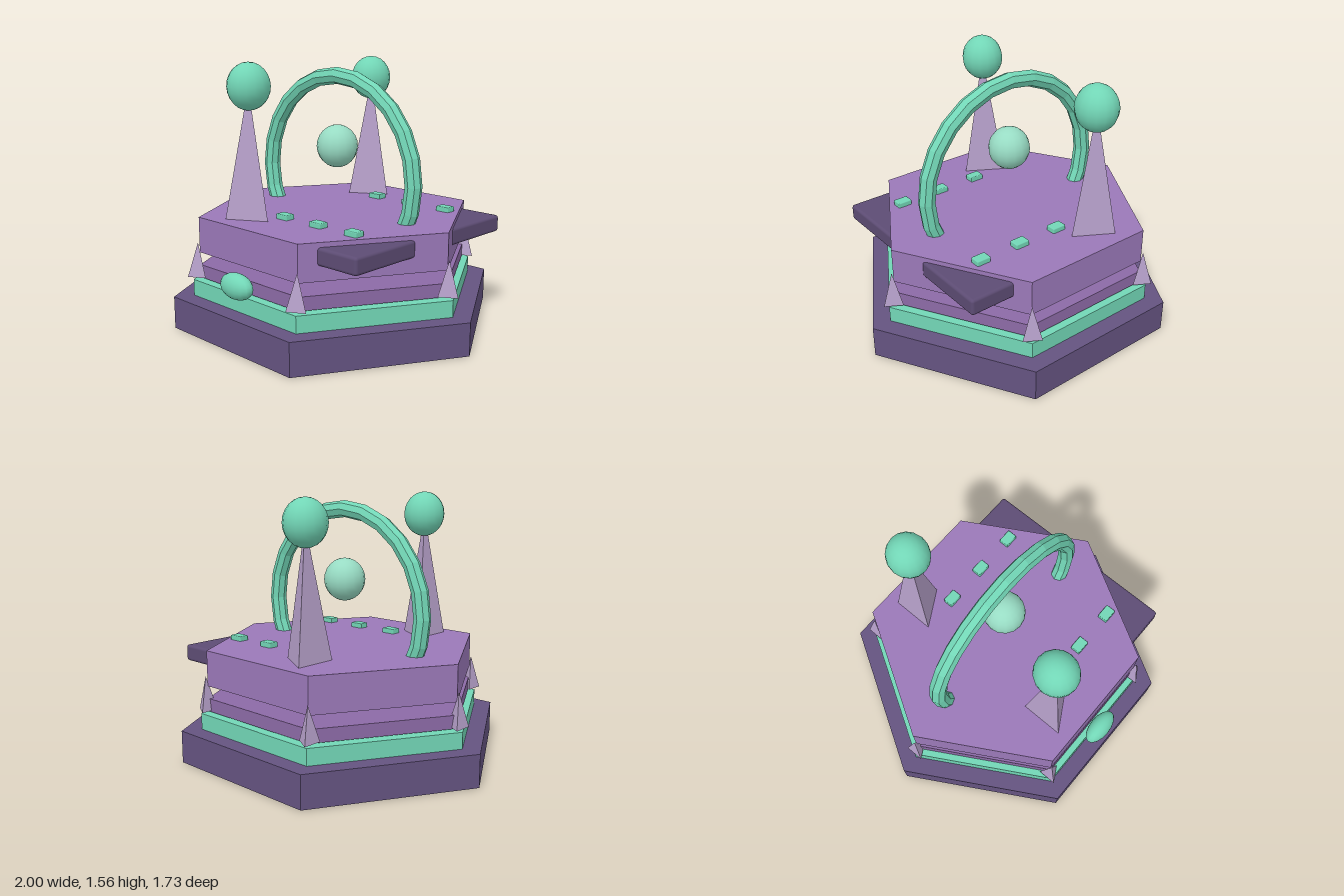
import * as THREE from 'three';
import { RoundedBoxGeometry } from 'three/addons/geometries/RoundedBoxGeometry.js';

const paint = (name, color) => {
  const m = new THREE.MeshStandardMaterial({ color });
  m.name = name;
  return m;
};

// Gives every face its own normal
const faceted = (geometry) => {
  const g = geometry.index ? geometry.toNonIndexed() : geometry;
  g.computeVertexNormals();
  return g;
};

export function createModel() {
  const model = new THREE.Group();
  model.name = 'ringShrine';
  const darkPurple = paint('darkPurple', 0x645380);
  const wingPurple = paint('wingPurple', 0x5d4c74);
  const purple = paint('purple', 0x9a78b8);
  const midPurple = paint('midPurple', 0x8c6aa6);
  const mauve = paint('mauve', 0xb6a0ca);
  const teal = paint('teal', 0x72d6b6);
  const paleTeal = paint('paleTeal', 0x98dcc4);

  const add = (name, geometry, material, x, y, z) => {
    const mesh = new THREE.Mesh(geometry, material);
    mesh.name = name;
    mesh.position.set(x, y, z);
    model.add(mesh);
    return mesh;
  };

  // Stacked hexagonal slabs with corners on the x axis
  const slab = (name, radius, bottom, top, material) => {
    const g = new THREE.CylinderGeometry(radius, radius, top - bottom, 6).rotateY(Math.PI / 2);
    add(name, faceted(g), material, 0, (bottom + top) / 2, 0);
  };
  slab('base', 1, 0, 0.193, darkPurple);
  slab('trimStep', 0.882, 0.193, 0.29, teal);
  slab('lowerDeck', 0.838, 0.3, 0.378, midPurple);
  slab('upperDeck', 0.84, 0.453, 0.665, purple);

  // Upright ring and the orb floating in it
  add('ring', faceted(new THREE.TorusGeometry(0.59, 0.05, 8, 24)), teal, 0, 0.88, 0);
  const ball = new THREE.SphereGeometry(1, 16, 12);
  add('centreOrb', ball, paleTeal, 0, 1.05, 0).scale.set(0.124, 0.129, 0.124);

  // Three-sided spike standing on the height y, one edge towards +x
  const spike = (name, radius, height, x, y, z) => {
    const g = new THREE.ConeGeometry(radius, height, 3).rotateY(Math.PI / 2);
    add(name, faceted(g), mauve, x, y + height / 2, z);
  };

  for (const side of [1, -1]) {
    // Towers with orbs
    spike('tower', 0.148, 0.76, -0.195, 0.665, 0.52 * side);
    add('towerOrb', ball, teal, -0.195, 1.425, 0.517 * side).scale.set(0.123, 0.137, 0.128);

    // Deck buttons
    for (const x of [-0.03, 0.242, 0.513]) {
      add('button', new RoundedBoxGeometry(0.09, 0.036, 0.064, 1, 0.006), teal, x, 0.677, 0.402 * side);
    }

    // Wings let into the upper deck
    add('wing', new RoundedBoxGeometry(0.48, 0.1, 0.475, 2, 0.018), wingPurple, 0.505, 0.588, 0.398 * side);
  }

  // Corner spikes
  for (let i = 0; i < 6; i++) {
    const a = (i * Math.PI) / 3;
    spike('cornerSpike', 0.065, 0.205, 0.85 * Math.cos(a), 0.308, 0.85 * Math.sin(a));
  }

  // Oval gem on the front
  add('frontGem', ball, teal, 0, 0.357, 0.795).scale.set(0.123, 0.075, 0.062);

  return model;
}
